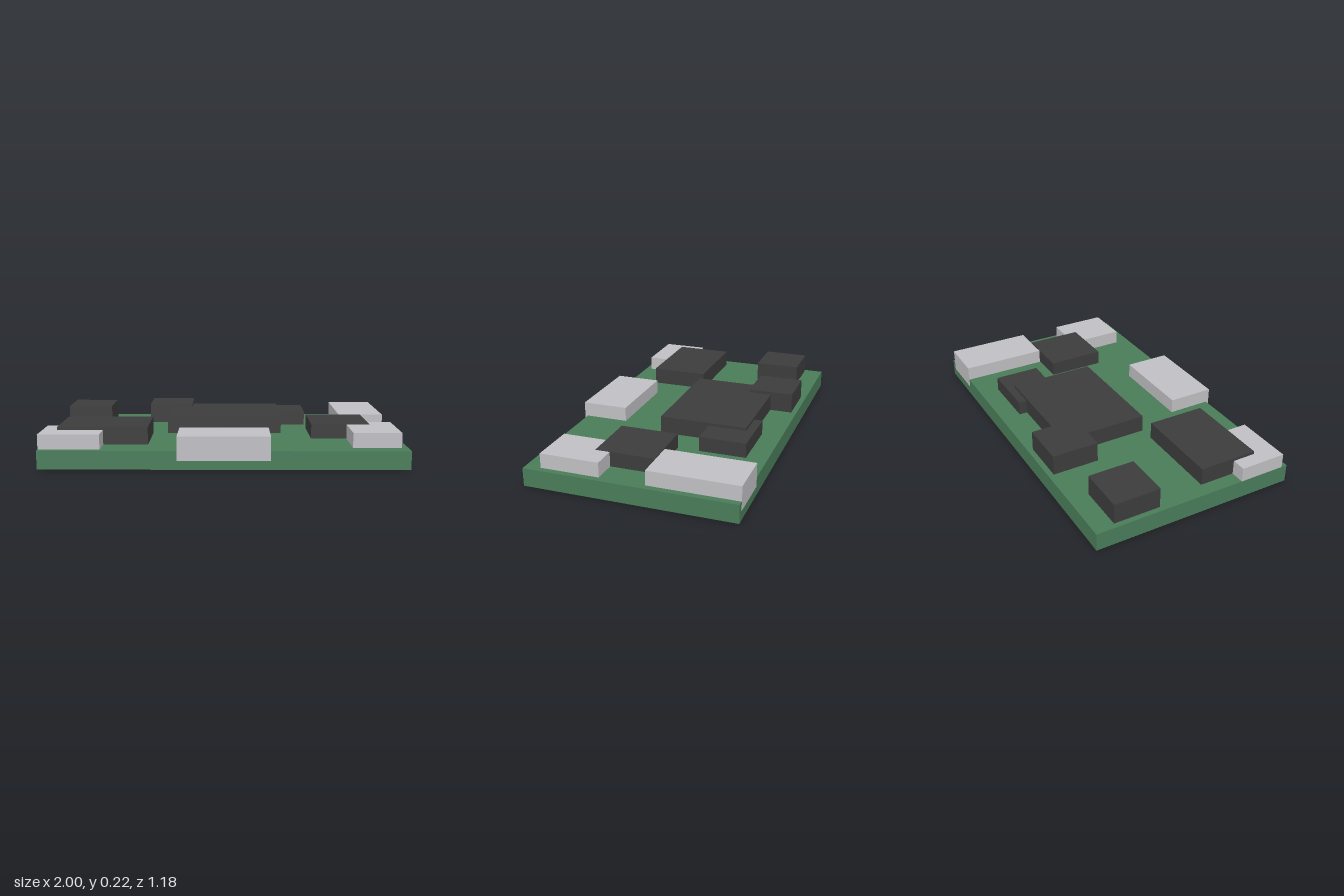
import * as THREE from 'three';

const material = (name, color) => Object.assign(new THREE.MeshStandardMaterial({ color }), { name });

// Box given by its extents along each axis
function block(name, mat, [x0, x1], [y0, y1], [z0, z1]) {
  const mesh = new THREE.Mesh(new THREE.BoxGeometry(x1 - x0, y1 - y0, z1 - z0), mat);
  mesh.position.set((x0 + x1) / 2, (y0 + y1) / 2, (z0 + z1) / 2);
  mesh.name = name;
  return mesh;
}

export function createModel() {
  const model = new THREE.Group();
  model.name = 'circuitBoard';
  const green = material('boardGreen', 0x4a7c59);
  const dark = material('chipDark', 0x3c3c3c);
  const metal = material('connectorMetal', 0xc0c0c4);
  const top = 0.102;

  // Board
  model.add(block('board', green, [-1, 1], [0, top], [-0.591, 0.575]));

  // Chips: name, x extent, z extent, top height
  const chips = [
    ['mainProcessor', [-0.335, 0.335], [-0.43, 0.07], 0.2],
    ['frontLeftChip', [-0.92, -0.42], [0.073, 0.407], 0.2],
    ['backCornerChip', [-0.97, -0.705], [-0.477, -0.213], 0.217],
    ['backMiddleChip', [-0.47, -0.203], [-0.56, -0.295], 0.217],
    ['memoryChip', [0.165, 0.498], [-0.477, -0.213], 0.184],
    ['sideChip', [0.498, 0.83], [-0.093, 0.238], 0.185],
  ];
  for (const [name, x, z, y] of chips) model.add(block(name, dark, x, [top, y], z));

  // Metal connectors: name, x extent, y extent, z extent
  const connectors = [
    ['frontPort', [-0.25, 0.25], [0.052, 0.184], [0.327, 0.591]],
    ['backPort', [0.7, 0.965], [0.052, 0.184], [-0.592, -0.096]],
    ['sidePort', [0.7, 0.965], [top, 0.184], [0.157, 0.488]],
    ['cornerPort', [-1, -0.667], [top, 0.184], [0.275, 0.54]],
  ];
  for (const [name, x, y, z] of connectors) model.add(block(name, metal, x, y, z));

  return model;
}
